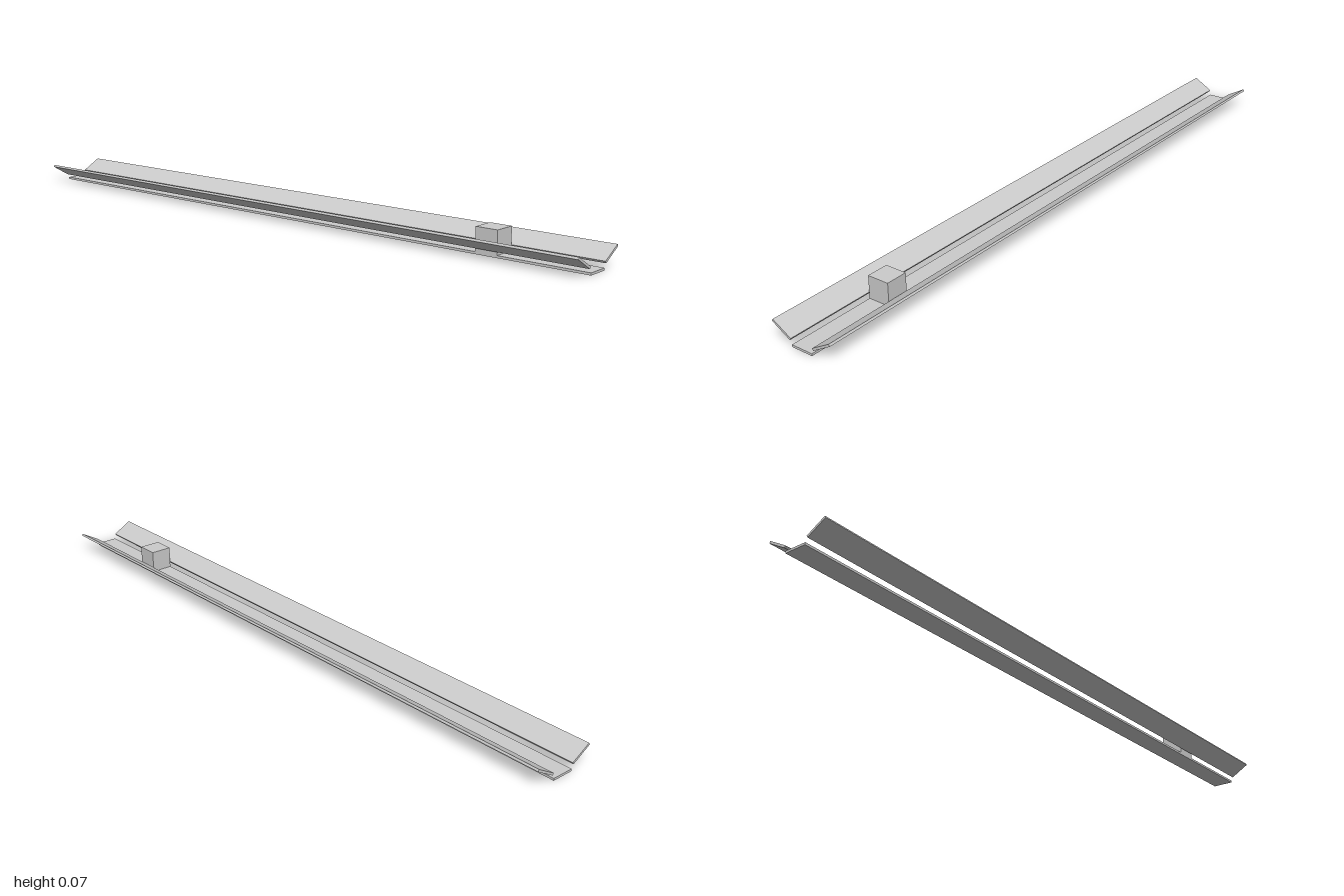
import * as THREE from 'three';

export function createModel() {
  const model = new THREE.Group();
  const material = new THREE.MeshStandardMaterial({ color: 0xcccccc, flatShading: true });
  const unit = 2 / 30; // width of the track, and side of the block
  const thickness = unit * 0.1;

  function addBox(name, size, position, tilt = 0) {
    const mesh = new THREE.Mesh(new THREE.BoxGeometry(...size), material);
    mesh.name = name;
    mesh.position.set(...position);
    mesh.rotation.z = tilt;
    model.add(mesh);
  }

  // Long flat floor
  addBox('floor', [unit, thickness, 2], [0, thickness / 2, 0]);

  // Side panels, sloping up and outward
  for (const [name, side] of [['leftPanel', 1], ['rightPanel', -1]]) {
    addBox(name, [unit, thickness, 2], [side * unit, unit * 0.55, 0], side * Math.PI / 6);
  }

  // Cube standing on the floor near the front
  addBox('block', [unit, unit, unit], [0, thickness + unit / 2, 0.7]);

  return model;
}
